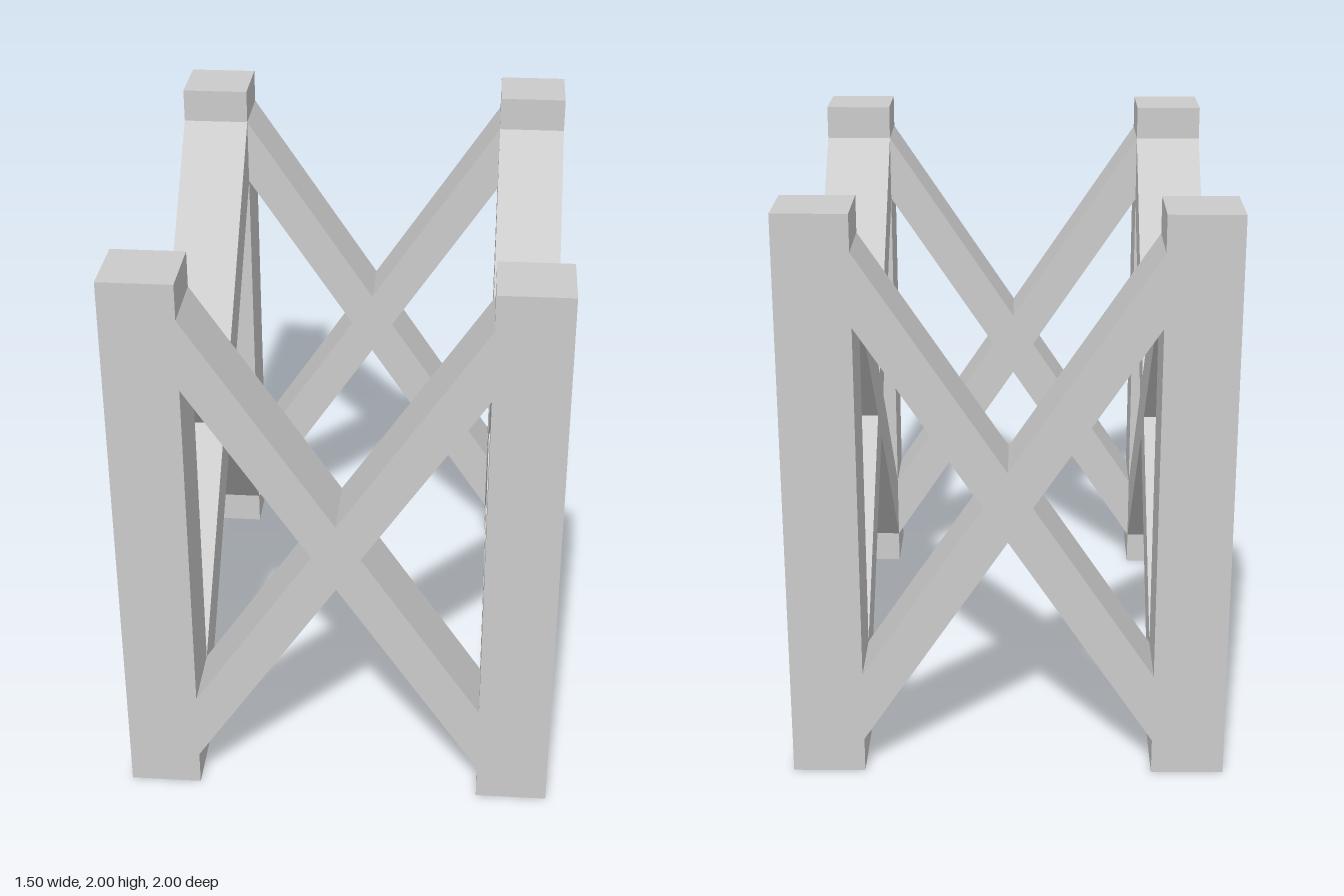
import * as THREE from 'three';

const T = 0.25; // thickness of posts and braces
const X = 0.625, Z = 0.875; // post centres

// X-shaped brace spanning -w..w between two posts, centred on its own plane
function crossBrace(w) {
  const waist = w / 6;
  const outline = [
    [-w, 0.125], [0, 0.875], [w, 0.125], [w, 0.375], [waist, 1], [w, 1.625],
    [w, 1.875], [0, 1.125], [-w, 1.875], [-w, 1.625], [-waist, 1], [-w, 0.375],
  ].map(([x, y]) => new THREE.Vector2(x, y));
  const geometry = new THREE.ExtrudeGeometry(new THREE.Shape(outline), { depth: T, bevelEnabled: false });
  return geometry.translate(0, 0, -T / 2);
}

export function createModel() {
  const model = new THREE.Group();
  model.name = 'crossBracedFrame';
  const material = new THREE.MeshStandardMaterial({ color: 0xcccccc, flatShading: true });

  const add = (name, geometry, x, y, z, turn = 0) => {
    const mesh = new THREE.Mesh(geometry, material);
    mesh.name = name;
    mesh.position.set(x, y, z);
    mesh.rotation.y = turn;
    model.add(mesh);
  };

  // Corner posts
  const post = new THREE.BoxGeometry(T, 2, T);
  for (const [sideName, sx] of [['Left', 1], ['Right', -1]]) {
    for (const [endName, sz] of [['front', 1], ['back', -1]]) {
      add(`${endName}${sideName}Post`, post, sx * X, 1, sz * Z);
    }
  }

  // Cross braces filling the gaps between the posts
  const endBrace = crossBrace(X - T / 2);
  const sideBrace = crossBrace(Z - T / 2);
  add('frontBrace', endBrace, 0, 0, Z);
  add('backBrace', endBrace, 0, 0, -Z);
  add('leftBrace', sideBrace, X, 0, 0, Math.PI / 2);
  add('rightBrace', sideBrace, -X, 0, 0, Math.PI / 2);

  return model;
}
